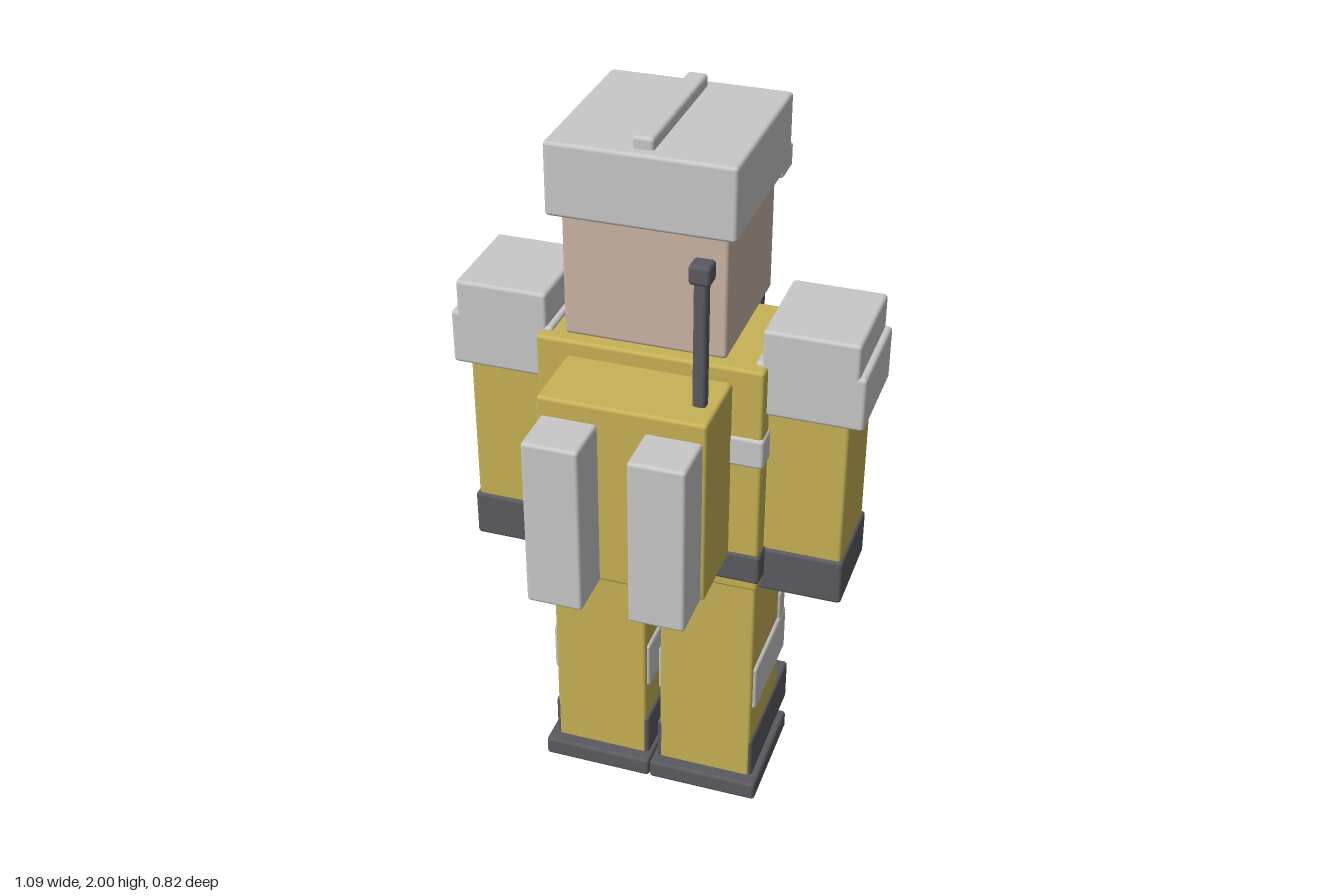
import * as THREE from 'three';
import { RoundedBoxGeometry } from 'three/addons/geometries/RoundedBoxGeometry.js';

const paint = (name, color) => {
  const m = new THREE.MeshStandardMaterial({ color });
  m.name = name;
  return m;
};

export function createModel() {
  const yellow = paint('suit yellow', 0xc6b255);
  const grey = paint('armour grey', 0xc8c8c8);
  const dark = paint('dark rubber', 0x5b5a60);
  const skin = paint('skin', 0xcab5a4);
  const glow = paint('lamp cream', 0xcac594);

  const model = new THREE.Group();
  model.name = 'figure';

  const group = (name) => {
    const g = new THREE.Group();
    g.name = name;
    model.add(g);
    return g;
  };

  // Softly bevelled block given by its [min, max] range on each axis
  const block = (parent, name, material, x, y, z) => {
    const size = [x, y, z].map(([a, b]) => b - a);
    const radius = Math.min(0.01, Math.min(...size) * 0.3);
    const mesh = new THREE.Mesh(new RoundedBoxGeometry(...size, 2, radius), material);
    mesh.position.set((x[0] + x[1]) / 2, (y[0] + y[1]) / 2, (z[0] + z[1]) / 2);
    mesh.name = name;
    parent.add(mesh);
  };

  // The same block on both sides of the body
  const pair = (parent, name, material, x, y, z) => {
    block(parent, name, material, x, y, z);
    block(parent, name, material, [-x[1], -x[0]], y, z);
  };

  // Helmet with brim, ridge and lamp
  const helmet = group('helmet');
  block(helmet, 'helmetShell', grey, [-0.238, 0.238], [1.78, 1.97], [-0.352, 0.127]);
  block(helmet, 'helmetBrim', grey, [-0.238, 0.238], [1.765, 1.832], [-0.372, -0.28]);
  block(helmet, 'helmetRidge', grey, [-0.027, 0.027], [1.95, 2.0], [-0.325, 0.097]);
  block(helmet, 'helmetLamp', glow, [-0.065, 0.065], [1.85, 1.945], [-0.41, -0.34]);

  // Head and face, looking toward -z
  const head = group('head');
  block(head, 'skull', skin, [-0.21, 0.21], [1.447, 1.81], [-0.312, 0.09]);
  pair(head, 'eye', grey, [0.047, 0.143], [1.65, 1.745], [-0.34, -0.3]);
  pair(head, 'pupil', dark, [0.072, 0.118], [1.66, 1.73], [-0.355, -0.33]);
  pair(head, 'eyebrow', dark, [0.042, 0.148], [1.752, 1.778], [-0.335, -0.3]);
  block(head, 'nose', skin, [-0.028, 0.028], [1.595, 1.66], [-0.36, -0.3]);
  block(head, 'mouth', dark, [-0.06, 0.06], [1.515, 1.547], [-0.34, -0.3]);

  // Torso with band, belt, straps and pockets
  const torso = group('torso');
  block(torso, 'jacket', yellow, [-0.3, 0.3], [0.74, 1.41], [-0.285, 0.063]);
  block(torso, 'chestBand', grey, [-0.306, 0.306], [1.13, 1.217], [-0.291, 0.069]);
  block(torso, 'belt', dark, [-0.306, 0.306], [0.768, 0.858], [-0.291, 0.069]);
  block(torso, 'zipper', dark, [-0.016, 0.016], [0.88, 1.4], [-0.3, -0.27]);
  pair(torso, 'shoulderStrap', dark, [0.153, 0.195], [0.943, 1.457], [-0.317, -0.28]);
  block(torso, 'chestBadge', grey, [-0.21, -0.06], [1.155, 1.27], [-0.302, -0.27]);
  block(torso, 'chestPocket', yellow, [-0.23, -0.04], [0.89, 1.09], [-0.302, -0.27]);
  block(torso, 'beltPouch', grey, [0.12, 0.24], [0.757, 0.868], [-0.348, -0.27]);
  pair(torso, 'hipTab', yellow, [0.11, 0.21], [0.71, 0.77], [-0.303, -0.245]);

  // Arms with shoulder pads and cuffs
  const arms = group('arms');
  pair(arms, 'sleeve', yellow, [0.295, 0.508], [0.73, 1.3], [-0.235, 0.01]);
  pair(arms, 'cuff', dark, [0.29, 0.516], [0.72, 0.853], [-0.241, 0.018]);
  pair(arms, 'lowerShoulderPad', grey, [0.267, 0.547], [1.27, 1.42], [-0.255, 0.031]);
  pair(arms, 'upperShoulderPad', grey, [0.283, 0.529], [1.4, 1.51], [-0.255, 0.031]);
  block(arms, 'thumb', yellow, [0.3, 0.39], [0.642, 0.74], [-0.226, -0.15]);

  // Legs with knee pads and boots
  const legs = group('legs');
  pair(legs, 'trouserLeg', yellow, [0.021, 0.289], [0.05, 0.75], [-0.252, 0.032]);
  pair(legs, 'kneePad', grey, [0.012, 0.299], [0.297, 0.442], [-0.283, 0.021]);
  pair(legs, 'kneePadTop', grey, [0.014, 0.297], [0.42, 0.53], [-0.272, -0.22]);
  pair(legs, 'boot', dark, [0.012, 0.296], [0.052, 0.185], [-0.348, 0.03]);
  pair(legs, 'sole', dark, [0.001, 0.316], [0, 0.058], [-0.273, 0.068]);

  // Backpack with tanks and aerial
  const pack = group('backpack');
  block(pack, 'packBody', yellow, [-0.219, 0.219], [0.843, 1.367], [0.05, 0.272]);
  pair(pack, 'tank', grey, [0.061, 0.209], [0.84, 1.315], [0.26, 0.406]);
  block(pack, 'aerial', dark, [0.155, 0.19], [1.35, 1.71], [0.162, 0.196]);
  block(pack, 'aerialTip', dark, [0.145, 0.2], [1.698, 1.75], [0.152, 0.206]);

  return model;
}
